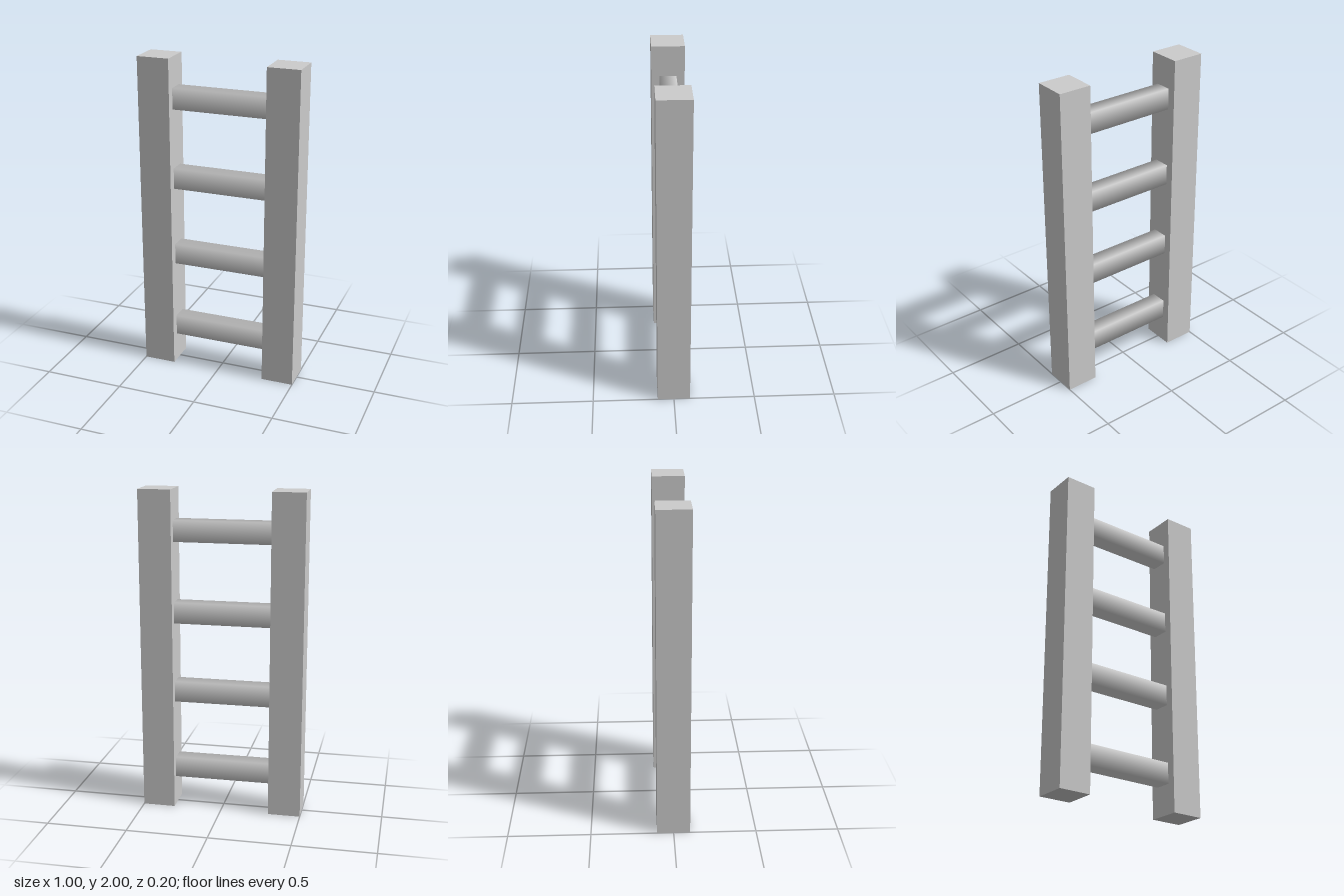
import * as THREE from 'three';

export function createModel() {
  const model = new THREE.Group();
  model.name = 'ladder';
  const material = new THREE.MeshStandardMaterial({ color: 0xcccccc });

  const add = (name, geometry, x, y) => {
    const mesh = new THREE.Mesh(geometry, material);
    mesh.name = name;
    mesh.position.set(x, y, 0);
    model.add(mesh);
  };

  // Square upright rails
  const rail = new THREE.BoxGeometry(0.2, 2, 0.2);
  add('leftRail', rail, 0.4, 1);
  add('rightRail', rail, -0.4, 1);

  // Four-sided, smooth-shaded rungs spanning the gap between the rails
  const rung = new THREE.CylinderGeometry(Math.SQRT1_2, Math.SQRT1_2, 0.6, 4, 1, true, Math.PI / 4);
  rung.rotateZ(Math.PI / 2);
  rung.scale(1, 0.13, 0.1);
  for (let i = 0; i < 4; i++) add(`rung${i + 1}`, rung, 0, 0.25 + i * 0.5);

  return model;
}
